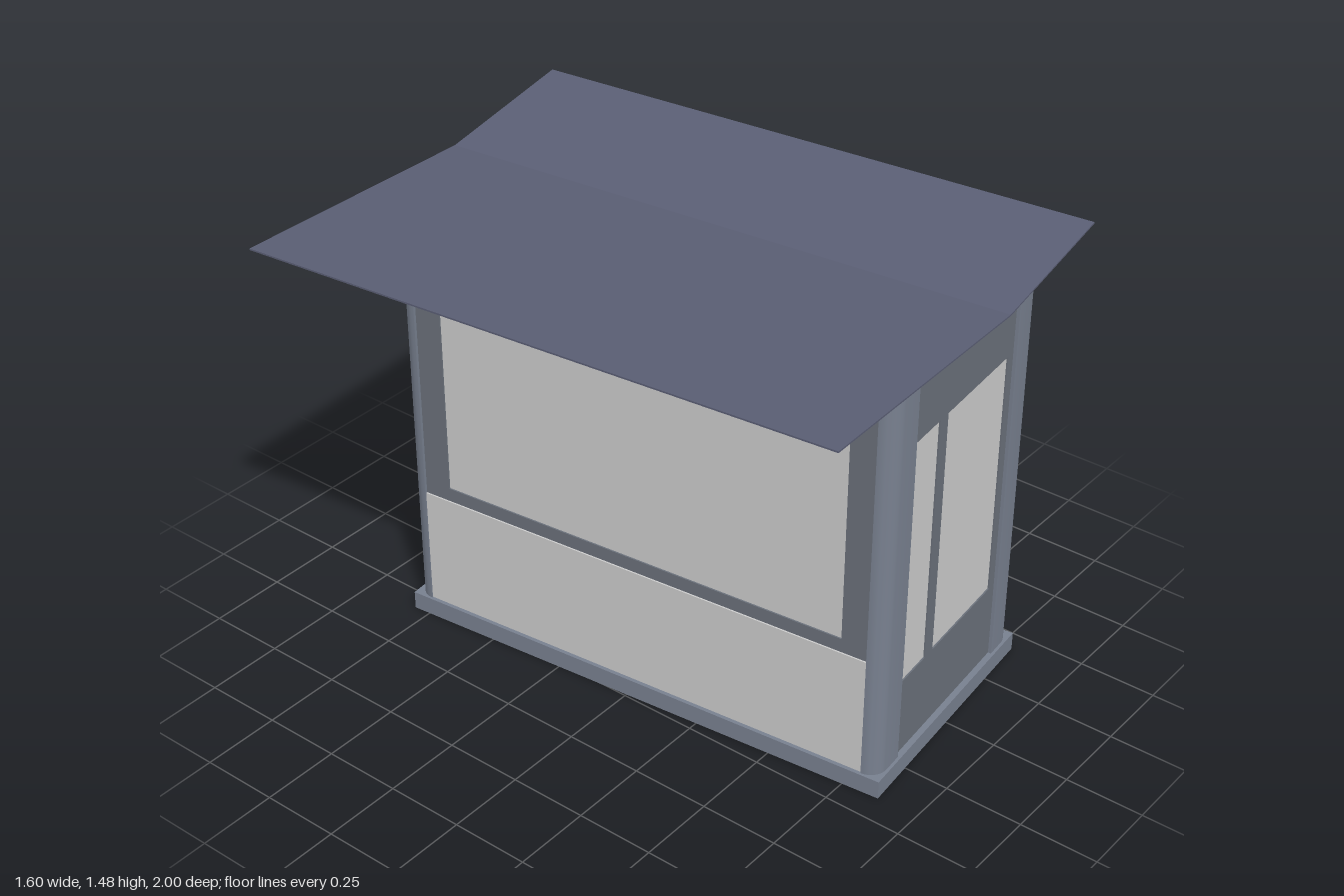
import * as THREE from 'three';
import { toCreasedNormals } from 'three/addons/utils/BufferGeometryUtils.js';

const mat = (color) => new THREE.MeshStandardMaterial({ color, side: THREE.DoubleSide });
const frameMat = mat(0x78808f), panelMat = mat(0x6a707a), greyMat = mat(0xcccccc), roofMat = mat(0x5a5e74);

const HX = 0.415, HZ = 0.832;       // half width and half length of the cabin
const Y0 = 0.06, Y1 = 1.34, TOP = 1.4; // floor, underside of top beam, top of cabin

function add(parent, name, geometry, material, x = 0, y = 0, z = 0) {
  const mesh = new THREE.Mesh(geometry, material);
  mesh.name = name;
  mesh.position.set(x, y, z);
  parent.add(mesh);
  return mesh;
}

const poly = (pts) => new THREE.Shape(pts.map(([x, y]) => new THREE.Vector2(x, y)));
const rect = (x0, y0, x1, y1) => poly([[x0, y0], [x1, y0], [x1, y1], [x0, y1]]);
const extrude = (shape, depth) =>
  new THREE.ExtrudeGeometry(shape, { depth, bevelEnabled: false, curveSegments: 10 });

// Extrudes a plan shape (x, z) upward
const upright = (shape, height) => toCreasedNormals(extrude(shape, height).rotateX(-Math.PI / 2), 0.6);

// L-shaped plan of a post with a rounded outer corner, for the +x +y quadrant, mirrored by sx, sy
function postShape(sx, sy) {
  const r = 0.055, t = 0.04, ix = 0.293, iz = 0.778;
  const s = new THREE.Shape();
  s.moveTo(sx * ix, sy * (HZ - t));
  s.lineTo(sx * ix, sy * HZ);
  s.lineTo(sx * (HX - r), sy * HZ);
  for (let i = 1; i <= 10; i++) {
    const a = (i / 10) * Math.PI / 2;
    s.lineTo(sx * (HX - r + r * Math.sin(a)), sy * (HZ - r + r * Math.cos(a)));
  }
  s.lineTo(sx * HX, sy * iz);
  s.lineTo(sx * (HX - t), sy * iz);
  s.lineTo(sx * (HX - t), sy * (HZ - t));
  return s;
}

function roundedRect(hx, hy, r) {
  const s = new THREE.Shape();
  s.moveTo(hx, -hy + r);
  s.absarc(hx - r, hy - r, r, 0, Math.PI / 2);
  s.absarc(-hx + r, hy - r, r, Math.PI / 2, Math.PI);
  s.absarc(-hx + r, -hy + r, r, Math.PI, Math.PI * 1.5);
  s.absarc(hx - r, -hy + r, r, Math.PI * 1.5, Math.PI * 2);
  return s;
}

// One wall facing +z before turning: a recessed panel with window openings
function wall(parent, name, half, distance, turn, windows, { glazed = true, skirt = true } = {}) {
  const g = new THREE.Group();
  g.name = name;
  g.rotation.y = turn;
  parent.add(g);
  const shape = rect(-half, Y0, half, Y1);
  const t = 0.022, face = distance - 0.01;
  for (const [x0, y0, x1, y1] of windows) {
    shape.holes.push(rect(x0, y0, x1, y1));
    if (glazed) {
      add(g, 'windowPane', new THREE.BoxGeometry(x1 - x0, y1 - y0, 0.008), greyMat,
        (x0 + x1) / 2, (y0 + y1) / 2, face - 0.009);
    } else {
      const b = 0.018;
      const trim = rect(x0, y0, x1, y1);
      trim.holes.push(rect(x0 + b, y0 + b, x1 - b, y1 - b));
      add(g, 'windowFrame', extrude(trim, 0.03), panelMat, 0, 0, face - 0.026);
    }
  }
  add(g, 'wallPanel', extrude(shape, t), panelMat, 0, 0, face - t);
  if (skirt) {
    add(g, 'lowerPanel', new THREE.BoxGeometry(half * 2, 0.395, 0.01), greyMat, 0, Y0 + 0.1975, face);
  }
}

export function createModel() {
  const model = new THREE.Group();
  model.name = 'kiosk';
  model.rotation.y = 0.0945;

  const cabin = new THREE.Group();
  cabin.name = 'cabin';
  cabin.position.set(0.18, 0, 0.009);
  model.add(cabin);

  // Base slab
  add(cabin, 'base', new THREE.BoxGeometry(0.845, Y0, 1.683), frameMat, 0, Y0 / 2, 0);

  // Corner posts
  for (const sx of [-1, 1]) for (const sz of [-1, 1]) {
    add(cabin, 'cornerPost', upright(postShape(sx, sz), Y1 - Y0), frameMat, 0, Y0, 0);
  }

  // Top beam ring and ceiling
  const ring = roundedRect(HX, HZ, 0.055);
  ring.holes.push(roundedRect(HX - 0.04, HZ - 0.04, 0.02));
  add(cabin, 'topBeam', upright(ring, TOP - Y1), frameMat, 0, Y1, 0);
  add(cabin, 'ceiling', new THREE.BoxGeometry(2 * HX - 0.06, 0.01, 2 * HZ - 0.06), greyMat, 0, TOP - 0.01, 0);

  // Walls: front door, two long sides, open back window
  wall(cabin, 'frontDoor', 0.293, HZ, 0,
    [[-0.275, 0.32, -0.14, 1.13], [-0.095, 0.32, 0.262, 1.13]], { skirt: false });
  for (const s of [-1, 1]) {
    wall(cabin, s > 0 ? 'leftWall' : 'rightWall', 0.778, HX, s * Math.PI / 2, [[-0.69, 0.5, 0.69, 1.3]]);
  }
  wall(cabin, 'backWall', 0.293, HZ, Math.PI, [[-0.205, 0.5, 0.205, 1.3]], { glazed: false });

  // Thin butterfly roof with its valley over the cabin
  const valley = [0.207, 1.408], left = [-0.715, 1.472], right = [0.715, 1.463], t = 0.005;
  const up = ([x, y]) => [x, y + t];
  const roof = extrude(poly([left, valley, right, up(right), up(valley), up(left)]), 1.87);
  add(model, 'roof', roof, roofMat, 0, 0, -0.935);

  // Wedge rafters between the cabin top and the roof
  const under = (end, x) => valley[1] + (end[1] - valley[1]) * (x - valley[0]) / (end[0] - valley[0]);
  const xl = 0.18 - 0.39, xr = 0.18 + 0.39;
  const rafter = extrude(poly([[xl, TOP], [xr, TOP], [xr, under(right, xr)], valley, [xl, under(left, xl)]]), 0.03);
  for (let i = 0; i < 4; i++) {
    add(model, 'rafter', rafter, frameMat, 0, 0, 0.785 - i * 0.53);
  }
  return model;
}
